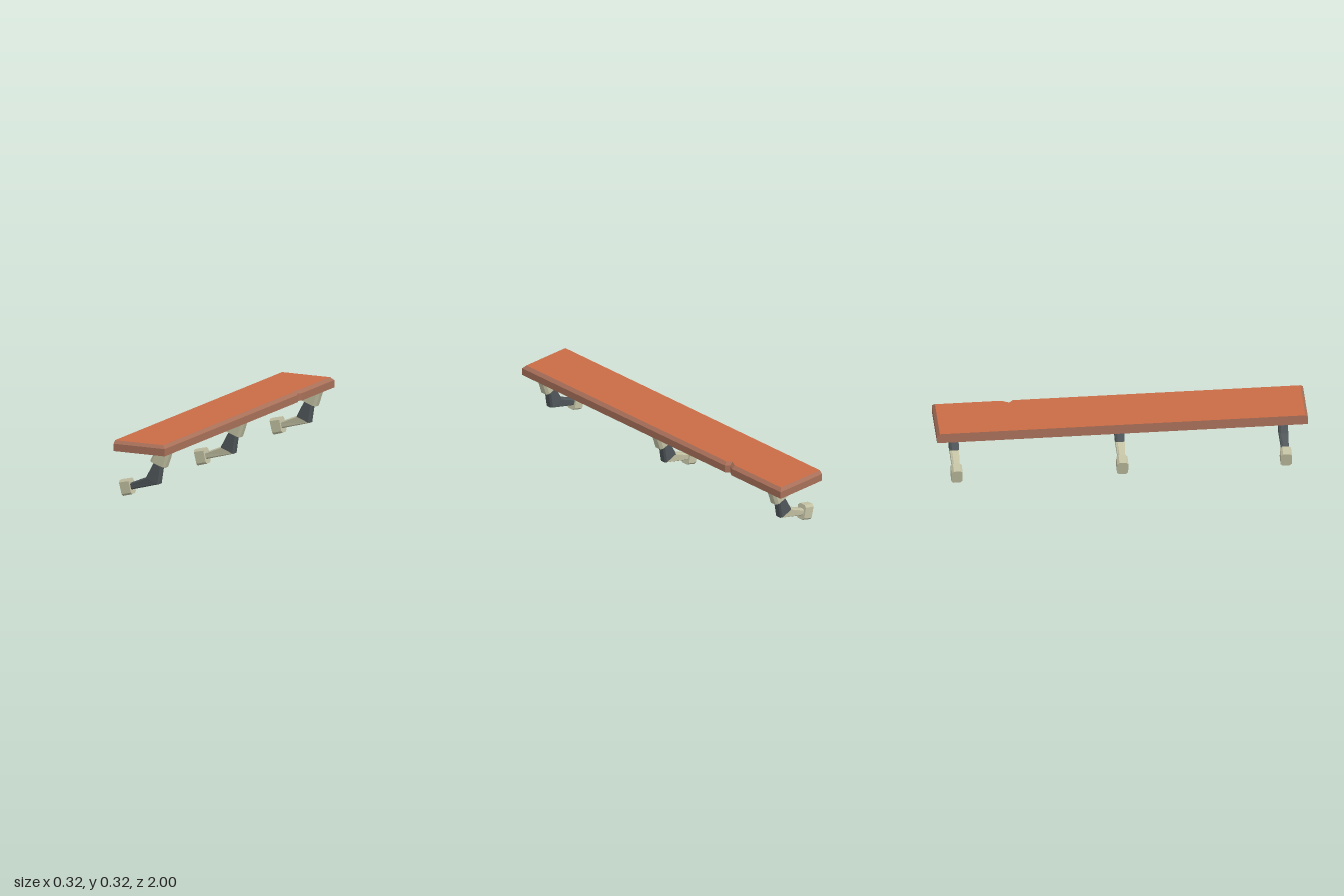
import * as THREE from 'three';

const material = (name, color) => {
  const m = new THREE.MeshStandardMaterial({ color });
  m.name = name;
  return m;
};

// Skins matching rings of points; rings run counterclockwise seen from the last ring.
// Caps fan out from corner 3, the only corner that may be concave.
function loft(rings, capStart = true, capEnd = true) {
  const pos = [];
  const tri = (a, b, c) => pos.push(...a, ...b, ...c);
  const n = rings[0].length;
  for (let r = 0; r < rings.length - 1; r++) {
    const lo = rings[r], hi = rings[r + 1];
    for (let i = 0; i < n; i++) {
      const j = (i + 1) % n;
      tri(lo[i], lo[j], hi[j]);
      tri(lo[i], hi[j], hi[i]);
    }
  }
  const first = rings[0], last = rings[rings.length - 1];
  for (let k = 1; k < n - 1; k++) {
    const a = (3 + k) % n, b = (4 + k) % n;
    if (capStart) tri(first[3], first[b], first[a]);
    if (capEnd) tri(last[3], last[a], last[b]);
  }
  const g = new THREE.BufferGeometry();
  g.setAttribute('position', new THREE.Float32BufferAttribute(pos, 3));
  g.computeVertexNormals();
  return g;
}

// Chamfered eight-sided section spanning from point a to point b, half width w in z
function section(a, b, w, cut = 0.15, cutZ = 0.012) {
  const v = w - cutZ;
  return [[0, -v], [cut, -w], [1 - cut, -w], [1, -v], [1, v], [1 - cut, w], [cut, w], [0, v]]
    .map(([u, z]) => [a[0] + (b[0] - a[0]) * u, a[1] + (b[1] - a[1]) * u, z]);
}

export function createModel() {
  const model = new THREE.Group();
  model.name = 'shelf';
  const orange = material('orange top', 0xc96b46);
  const brown = material('brown edge', 0xa87059);
  const cream = material('cream fitting', 0xc3c1a3);
  const slate = material('dark slate', 0x50575a);

  const add = (parent, name, geometry, mat) => {
    const mesh = new THREE.Mesh(geometry, mat);
    mesh.name = name;
    parent.add(mesh);
  };

  // Board outlines in x, z, with a chipped notch in the +x edge
  const outer = [[-0.147, 1], [0.16, 1], [0.16, -0.57], [0.141, -0.59], [0.16, -0.622], [0.16, -1], [-0.147, -1]];
  const inner = [[-0.147, 0.985], [0.143, 0.985], [0.143, -0.565], [0.122, -0.587], [0.143, -0.628], [0.143, -0.985], [-0.147, -0.985]];
  const ring = (pts, y) => pts.map(([x, z]) => [x, y, z]);
  const topRing = ring(inner, 0.322);
  add(model, 'boardSides', loft([ring(outer, 0.265), ring(outer, 0.305), topRing], true, false), brown);

  // Top surface as a single flat face
  const topShape = new THREE.Shape(inner.map(([x, z]) => new THREE.Vector2(x, -z)));
  const topFace = new THREE.ShapeGeometry(topShape).rotateX(-Math.PI / 2).translate(0, 0.322, 0);
  add(model, 'boardTop', topFace, orange);

  // Bracket pieces: socket under the board, bent arm, wall foot
  const elbow = section([-0.005, 0.115], [0.075, 0.085], 0.025, 0.09, 0.011);
  const socket = loft([
    section([0.05, 0.266], [0.142, 0.266], 0.03),
    section([0.022, 0.21], [0.112, 0.178], 0.03),
  ]);
  const upperArm = loft([section([0.048, 0.212], [0.092, 0.196], 0.025, 0.14, 0.011), elbow], true, false);
  const lowerArm = loft([elbow, section([-0.11, 0.071], [-0.1, 0.037], 0.019, 0.2, 0.009)], false, true);
  const foot = loft([
    section([-0.105, 0.098], [-0.087, 0.015], 0.03, 0.13),
    section([-0.163, 0.085], [-0.142, 0], 0.03, 0.13),
  ]);

  [['front', 0.882, slate], ['middle', 0, cream], ['back', -0.893, cream]].forEach(([name, z, armColour]) => {
    const bracket = new THREE.Group();
    bracket.name = name + 'Bracket';
    bracket.position.z = z;
    add(bracket, 'socket', socket, cream);
    add(bracket, 'upperArm', upperArm, slate);
    add(bracket, 'lowerArm', lowerArm, armColour);
    add(bracket, 'foot', foot, cream);
    model.add(bracket);
  });

  return model;
}
